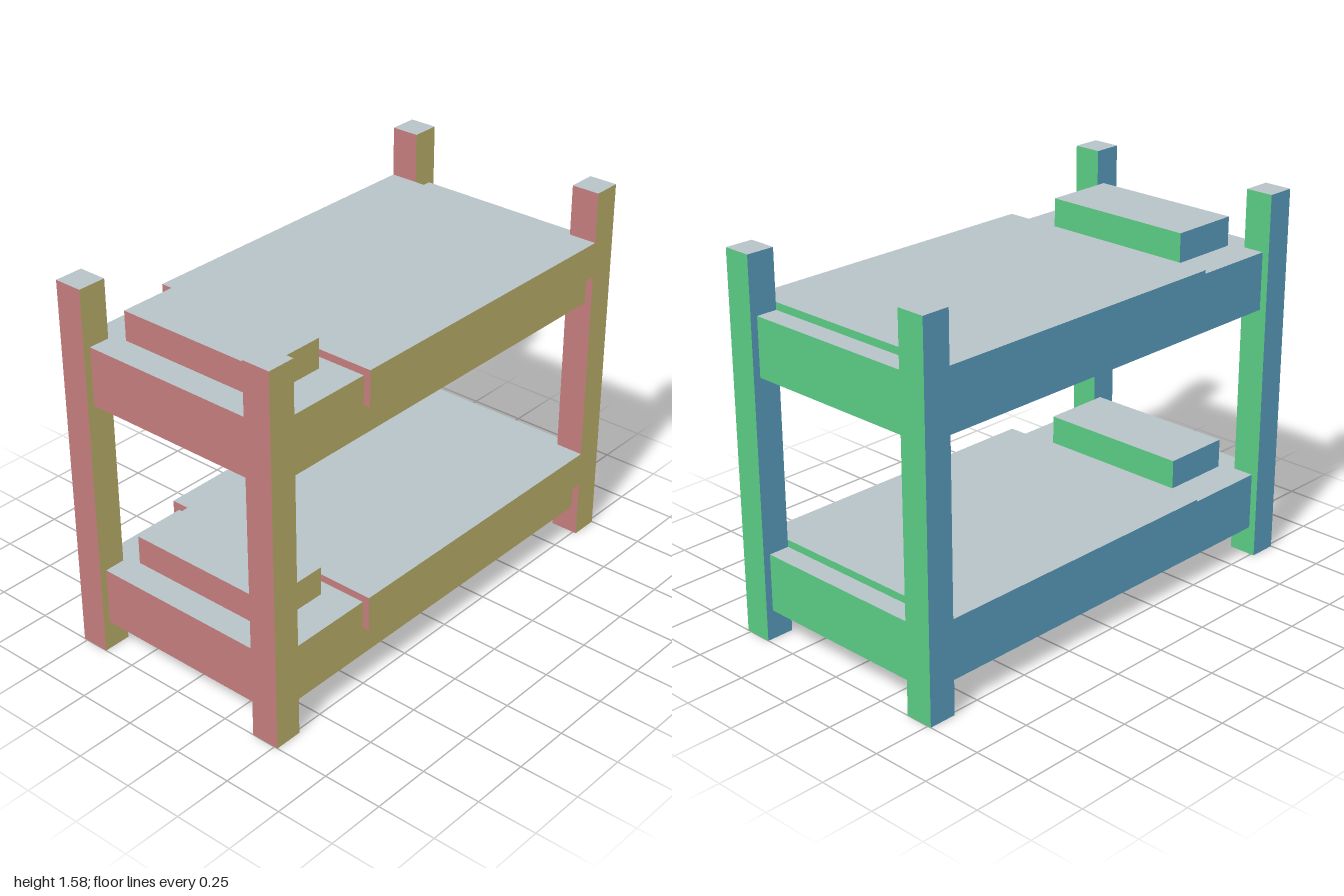
import * as THREE from 'three';

// One flat colour per facing direction
const paint = (name, color) => {
  const m = new THREE.MeshStandardMaterial({ color });
  m.name = name;
  return m;
};

export function createModel() {
  // Box face order: +x, -x, +y, -y, +z, -z
  const faces = [
    paint('green', 0x5acb84),
    paint('maroon', 0xc47c7c),
    paint('paleGrey', 0xb9c5c9),
    paint('darkSlate', 0x5a5e6e),
    paint('olive', 0xc8be72),
    paint('blue', 0x5fa4ca),
  ];

  // Box given by its extents in x and y, and its half depth around a z centre
  const block = (name, x0, x1, y0, y1, halfZ, z = 0) => {
    const mesh = new THREE.Mesh(
      new THREE.BoxGeometry(x1 - x0, y1 - y0, halfZ * 2), faces);
    mesh.position.set((x0 + x1) / 2, (y0 + y1) / 2, z);
    mesh.name = name;
    return mesh;
  };

  const model = new THREE.Group();
  model.name = 'bunkBed';

  // Four corner posts
  for (const sx of [-1, 1]) {
    for (const sz of [-1, 1]) {
      const name = (sz > 0 ? 'front' : 'back') + (sx > 0 ? 'Left' : 'Right') + 'Post';
      model.add(block(name, sx * 0.94 - 0.06, sx * 0.94 + 0.06, 0, 1.576, 0.0605, sz * 0.4545));
    }
  }

  // Two identical bunks: mattress, draped blanket and pillow
  [['lowerBunk', 0], ['upperBunk', 0.97]].forEach(([name, y]) => {
    const bunk = new THREE.Group();
    bunk.name = name;
    bunk.position.y = y;
    bunk.add(
      block('mattress', -0.97, 0.97, 0.122, 0.364, 0.485),
      block('blanket', -0.485, 0.88, 0.245, 0.395, 0.515),
      block('pillow', -0.85, -0.55, 0.364, 0.486, 0.333));
    model.add(bunk);
  });

  return model;
}
